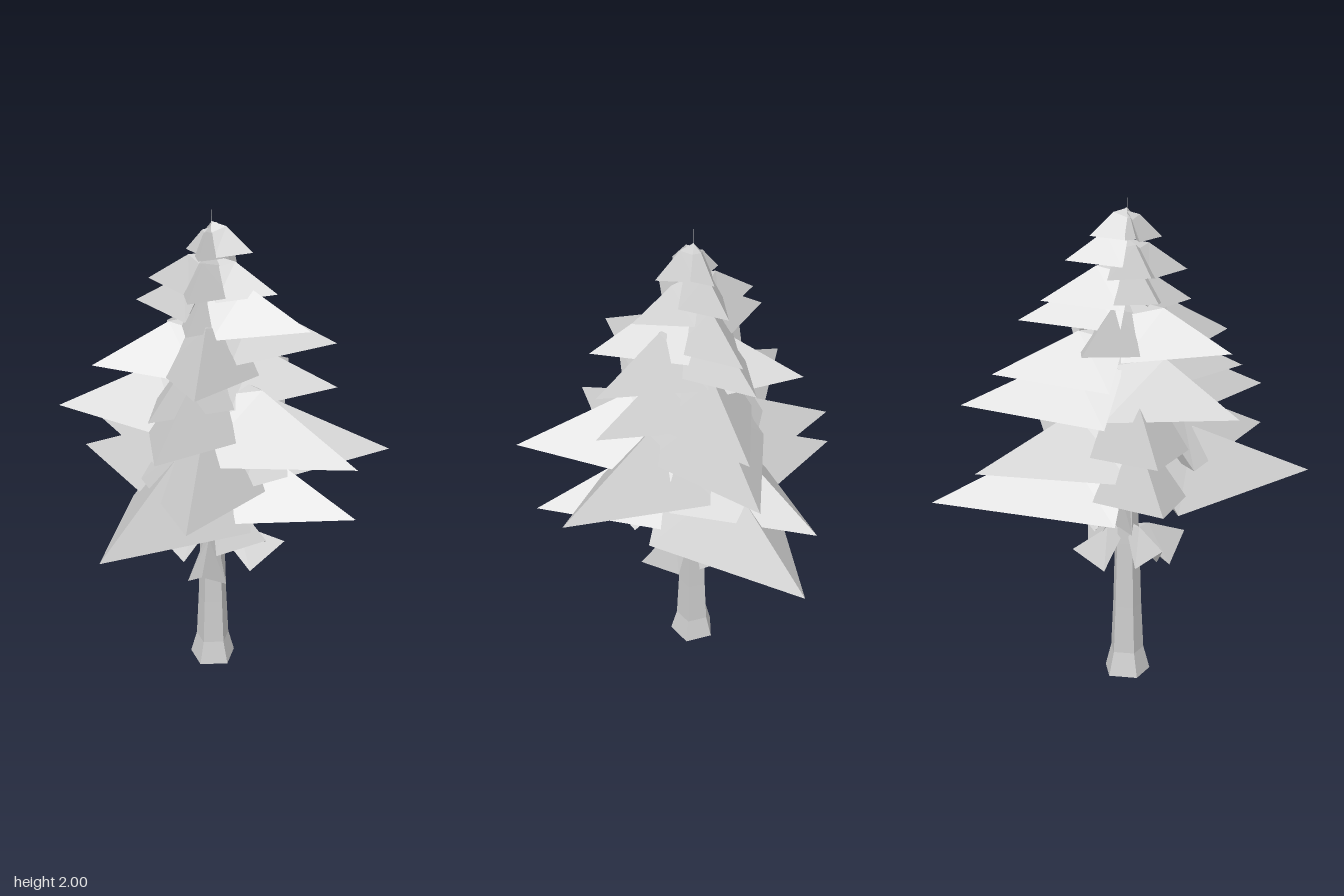
import * as THREE from 'three';

const CX = -0.035, CZ = 0.022; // trunk axis

// Branch tips [x, y, z], one row per tier from the bottom up
const TIERS = [
  [[0.61, 0.87, 0.17], [-0.66, 0.88, -0.07], [-0.18, 0.85, 0.78], [-0.035, 0.83, -0.78]],
  [[0.65, 1.03, -0.17], [-0.63, 1.05, -0.08], [0.13, 0.99, 0.71], [-0.18, 0.97, -0.64]],
  [[0.63, 1.13, 0.27], [-0.6, 1.2, 0.25], [-0.02, 1.2, 0.63], [0.08, 1.18, -0.63]],
  [[0.45, 1.3, -0.08], [-0.42, 1.41, 0.3], [-0.1, 1.3, 0.5], [0.05, 1.3, -0.51]],
  [[0.44, 1.48, -0.08], [-0.35, 1.42, -0.27], [0.09, 1.42, 0.52], [-0.03, 1.52, -0.42]],
  [[0.38, 1.57, 0.08], [-0.35, 1.6, 0.03], [-0.03, 1.57, 0.3], [-0.03, 1.59, -0.33]],
  [[0.23, 1.68, 0.02], [-0.3, 1.69, 0.02], [-0.03, 1.69, 0.28], [-0.03, 1.74, -0.23]],
  [[0.13, 1.83, 0.02], [-0.14, 1.82, 0.02], [-0.03, 1.82, 0.17], [-0.03, 1.83, -0.13]],
];

// Small drooping twigs under the crown
const TWIGS = [
  [0.26, 0.59, -0.05], [-0.24, 0.59, 0.1], [0.03, 0.57, 0.31], [-0.06, 0.58, -0.22],
  [0.29, 0.78, 0.29], [-0.22, 0.74, -0.12], [0.08, 0.72, -0.17],
];

// Folded tent: a bent ridge from trunk to tip, with a hip and a low wing on each side
function makeBranch([x, y, z], o, material) {
  const len = Math.hypot(x - CX, z - CZ);
  const rise = o.rise(len);
  const root = [0, rise, 0];
  const shoulder = [len * 0.36, rise * 0.86, 0];
  const tip = [len, 0, 0];
  const hollow = [len * 0.1, rise * o.hollow, 0];
  const faces = [];
  for (const s of [-1, 1]) {
    const hip = [len * 0.06, rise * 0.66, s * len * o.hip];
    const wing = [len * o.wingAt, -o.droop(len), s * len * o.spread];
    const half = [
      [root, hip, shoulder], [hip, wing, shoulder], [shoulder, wing, tip],
      [hollow, tip, wing], [hollow, wing, hip], [hollow, hip, root],
    ];
    for (const [a, b, c] of half) faces.push(...(s < 0 ? [a, b, c] : [a, c, b]));
  }
  const g = new THREE.BufferGeometry();
  g.setAttribute('position', new THREE.Float32BufferAttribute(faces.flat(), 3));
  g.computeVertexNormals();
  const mesh = new THREE.Mesh(g, material);
  mesh.position.set(CX, y, CZ);
  mesh.rotation.y = -Math.atan2(z - CZ, x - CX);
  return mesh;
}

export function createModel() {
  const material = new THREE.MeshStandardMaterial({
    color: 0xcccccc, flatShading: true, side: THREE.DoubleSide,
  });
  const tree = new THREE.Group();
  tree.name = 'tree';

  // Flared five-sided trunk, open below, tapering into a needle-thin top
  const profile = [
    [0.1, 0], [0.073, 0.1], [0.063, 0.3], [0.054, 0.58],
    [0.042, 0.85], [0.022, 1.3], [0.003, 1.85], [0, 2],
  ].map(([r, h]) => new THREE.Vector2(r, h));
  const trunk = new THREE.Mesh(new THREE.LatheGeometry(profile, 5, -0.21), material);
  trunk.name = 'trunk';
  trunk.position.set(CX, 0, CZ);
  tree.add(trunk);

  // Crown tiers
  const bough = {
    rise: (l) => 0.07 + 0.22 * l, droop: (l) => 0.1 * l,
    wingAt: 0.2, spread: 0.38, hip: 0.2, hollow: 0.05,
  };
  TIERS.forEach((tips, i) => {
    const tier = new THREE.Group();
    tier.name = `branchTier${i + 1}`;
    tips.forEach((tip, j) => {
      const branch = makeBranch(tip, bough, material);
      branch.name = `branch${j + 1}`;
      tier.add(branch);
    });
    tree.add(tier);
  });

  // Lower twigs
  const droopy = {
    rise: () => 0.08, droop: (l) => 0.04 + 0.22 * l,
    wingAt: 0.55, spread: 0.27, hip: 0.06, hollow: 0.35,
  };
  const twigs = new THREE.Group();
  twigs.name = 'lowerTwigs';
  TWIGS.forEach((tip, i) => {
    const twig = makeBranch(tip, droopy, material);
    twig.name = `twig${i + 1}`;
    twigs.add(twig);
  });
  tree.add(twigs);

  return tree;
}
